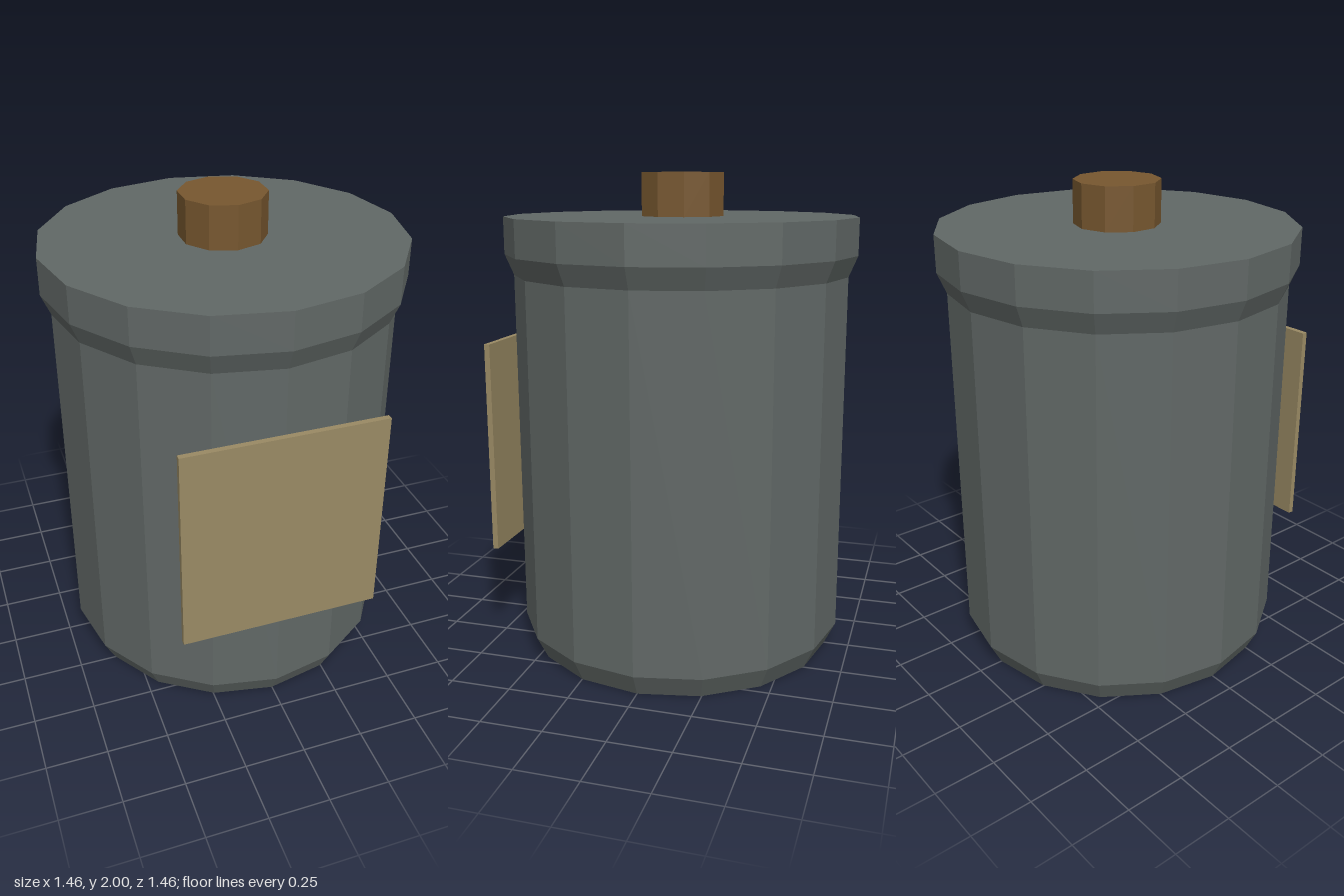
import * as THREE from 'three';

const flat = (name, color) => new THREE.MeshStandardMaterial({ name, color, flatShading: true });

export function createModel() {
  const group = new THREE.Group();
  group.name = 'canister';
  const metal = flat('dark grey metal', 0x616866);
  const wood = flat('brown wood', 0x77572f);
  const paper = flat('tan paper', 0x9a8a64);

  const add = (name, geometry, material, x, y, z) => {
    const mesh = new THREE.Mesh(geometry, material);
    mesh.name = name;
    mesh.position.set(x, y, z);
    group.add(mesh);
  };

  // Sixteen-sided body with a chamfered foot and a flared rim, closed at both ends
  const profile = [
    [0, 0], [0.645, 0], [0.692, 0.095], [0.692, 1.59],
    [0.728, 1.675], [0.728, 1.825], [0, 1.825],
  ].map(([r, y]) => new THREE.Vector2(r, y));
  add('body', new THREE.LatheGeometry(profile, 16), metal, 0, 0, 0);

  // Ten-sided knob on the lid
  add('knob', new THREE.CylinderGeometry(0.175, 0.175, 0.175, 10), wood, 0, 1.9125, -0.002);

  // Flat label plate standing against the front
  add('label', new THREE.BoxGeometry(0.82, 0.876, 0.023), paper, 0, 0.883, 0.704);

  return group;
}
